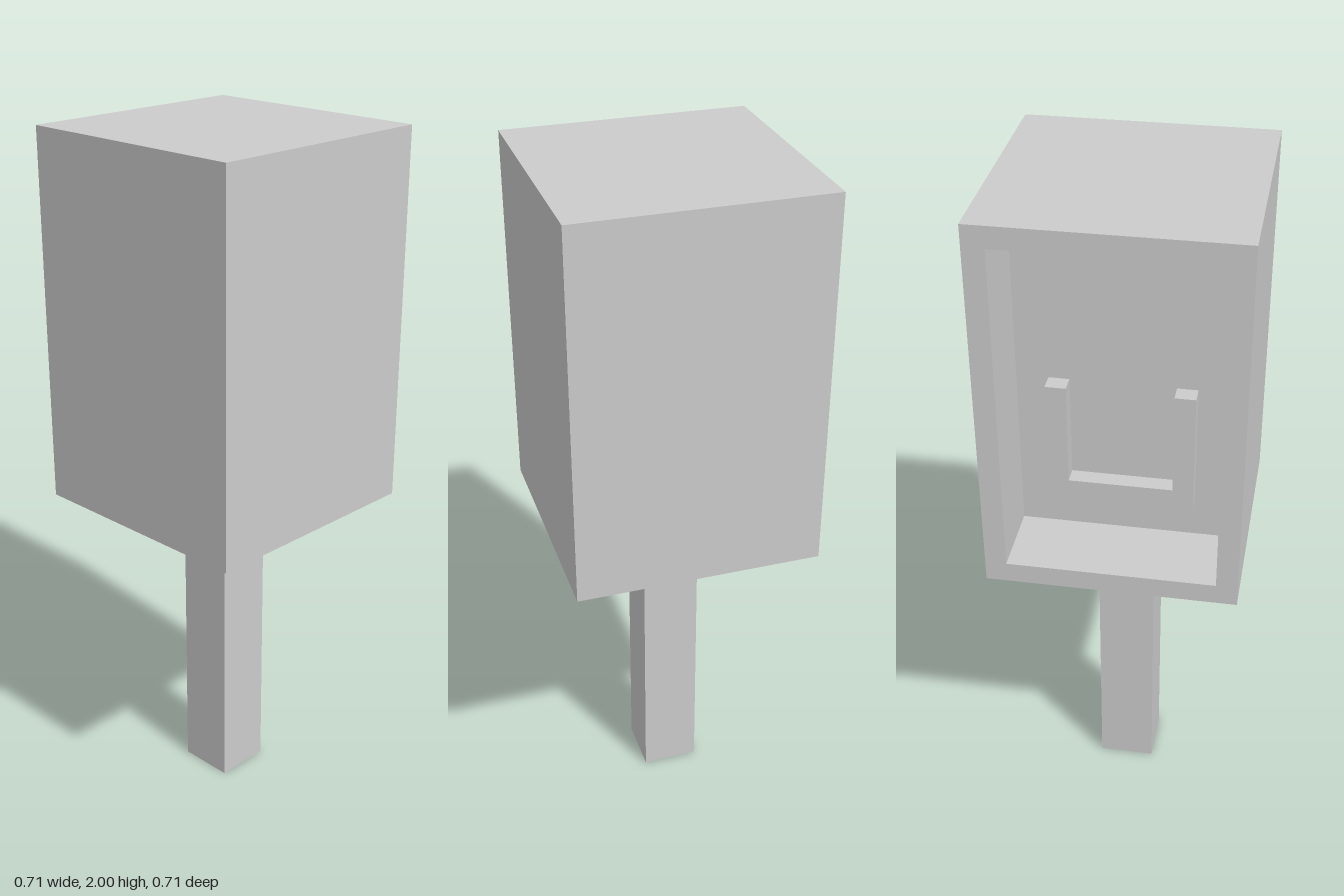
import * as THREE from 'three';

const HALF = 0.353;    // half width of the housing
const BASE = 0.92;     // underside of the housing
const TOP = 2;
const WALL = 0.06;
const BACK_X = -0.13;  // back of the recess, which opens towards -x

export function createModel() {
  const group = new THREE.Group();
  const material = new THREE.MeshStandardMaterial({ color: 0xcccccc, flatShading: true });

  const add = (name, geometry, x = 0, y = 0, z = 0) => {
    const mesh = new THREE.Mesh(geometry, material);
    mesh.name = name;
    mesh.position.set(x, y, z);
    group.add(mesh);
    return mesh;
  };
  // Box given by its lower and upper corners
  const box = (name, [x0, y0, z0], [x1, y1, z1]) =>
    add(name, new THREE.BoxGeometry(x1 - x0, y1 - y0, z1 - z0),
      (x0 + x1) / 2, (y0 + y1) / 2, (z0 + z1) / 2);

  // Square post
  box('post', [-0.083, 0, -0.083], [0.083, BASE, 0.083]);

  // Closed part of the housing
  box('housingBody', [BACK_X, BASE, -HALF], [HALF, TOP, HALF]);

  // Rim around the recess
  const rectangle = (target, w, y0, y1) => {
    target.moveTo(-w, y0);
    target.lineTo(w, y0);
    target.lineTo(w, y1);
    target.lineTo(-w, y1);
    target.closePath();
    return target;
  };
  const outline = rectangle(new THREE.Shape(), HALF, BASE, TOP);
  outline.holes.push(rectangle(new THREE.Path(), HALF - WALL, BASE + WALL, TOP - WALL));
  const rim = add('housingRim',
    new THREE.ExtrudeGeometry(outline, { depth: HALF + BACK_X, bevelEnabled: false }), BACK_X);
  rim.rotation.y = -Math.PI / 2;

  // Bracket on the back of the recess: a low bar with an upright at each end
  const frontX = BACK_X - 0.05;
  box('bracketBar', [frontX, 1.1, -0.204], [BACK_X, 1.16, 0.204]);
  for (const side of [-1, 1]) {
    const z = side * 0.175;
    box('bracketUpright', [frontX, 1.16, z - 0.029], [BACK_X, 1.46, z + 0.029]);
  }

  return group;
}
